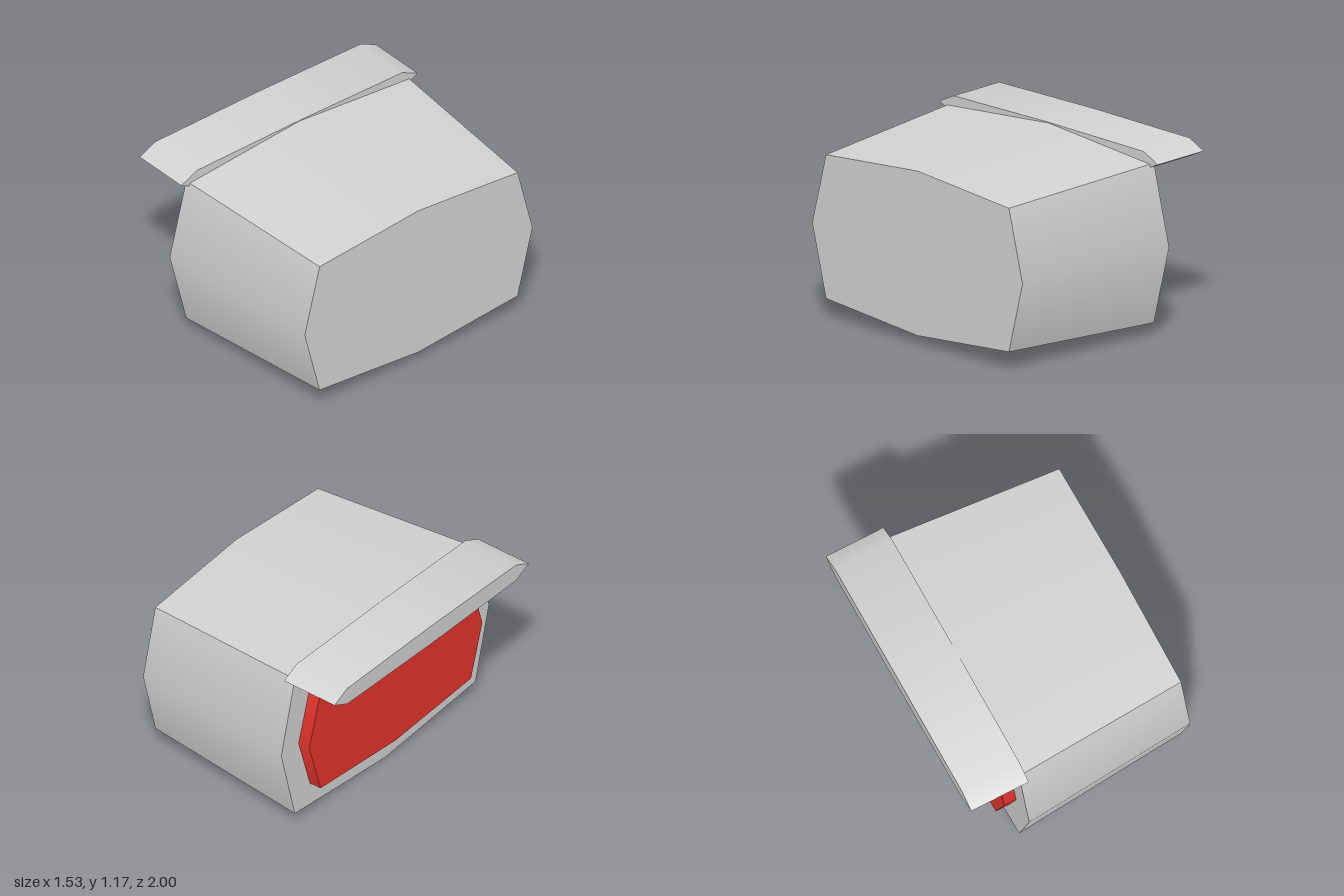
import * as THREE from 'three';
import { toCreasedNormals } from 'three/addons/utils/BufferGeometryUtils.js';

// Eight-sided cross-section as [z, y] unit factors, clockwise from the top ridge
const SECTION = [[0, 1], [0.87, 0.873], [1, 0], [0.87, -0.873], [0, -1], [-0.87, -0.873], [-1, 0], [-0.87, 0.873]];

// Closed loft along x between two scaled sections: { x, y, halfZ, halfY }
function loft(a, b) {
  const n = SECTION.length;
  const positions = [];
  for (const s of [a, b]) {
    for (const [z, y] of SECTION) positions.push(s.x, s.y + y * s.halfY, z * s.halfZ);
  }
  const index = [];
  for (let i = 0; i < n; i++) {
    const j = (i + 1) % n;
    // alternate diagonals so the smoothed ridges stay symmetric
    if (i % 2 === 0) index.push(i, j, n + j, i, n + j, n + i);
    else index.push(i, j, n + i, j, n + j, n + i);
  }
  for (let i = 1; i < n - 1; i++) {
    index.push(0, i + 1, i); // -x cap
    index.push(n, n + i, n + i + 1); // +x cap
  }
  const geometry = new THREE.BufferGeometry();
  geometry.setAttribute('position', new THREE.Float32BufferAttribute(positions, 3));
  geometry.setIndex(index);
  return toCreasedNormals(geometry, THREE.MathUtils.degToRad(40));
}

export function createModel() {
  const grey = new THREE.MeshStandardMaterial({ color: 0xd3d3d4 });
  grey.name = 'light grey';
  const red = new THREE.MeshStandardMaterial({ color: 0xe5342c });
  red.name = 'red';

  const group = new THREE.Group();
  const add = (name, material, a, b) => {
    const mesh = new THREE.Mesh(loft(a, b), material);
    mesh.name = name;
    group.add(mesh);
  };

  // Tapered housing
  add('housing', grey,
    { x: -0.4, y: 0.584, halfZ: 1, halfY: 0.582 },
    { x: 0.765, y: 0.584, halfZ: 0.9, halfY: 0.524 });

  // Red lens standing proud of the wide end
  add('lens', red,
    { x: -0.483, y: 0.585, halfZ: 0.833, halfY: 0.415 },
    { x: -0.39, y: 0.585, halfZ: 0.833, halfY: 0.415 });

  // Flat visor over the lens
  add('visor', grey,
    { x: -0.765, y: 1.102, halfZ: 0.935, halfY: 0.067 },
    { x: -0.368, y: 1.102, halfZ: 0.935, halfY: 0.067 });

  return group;
}
